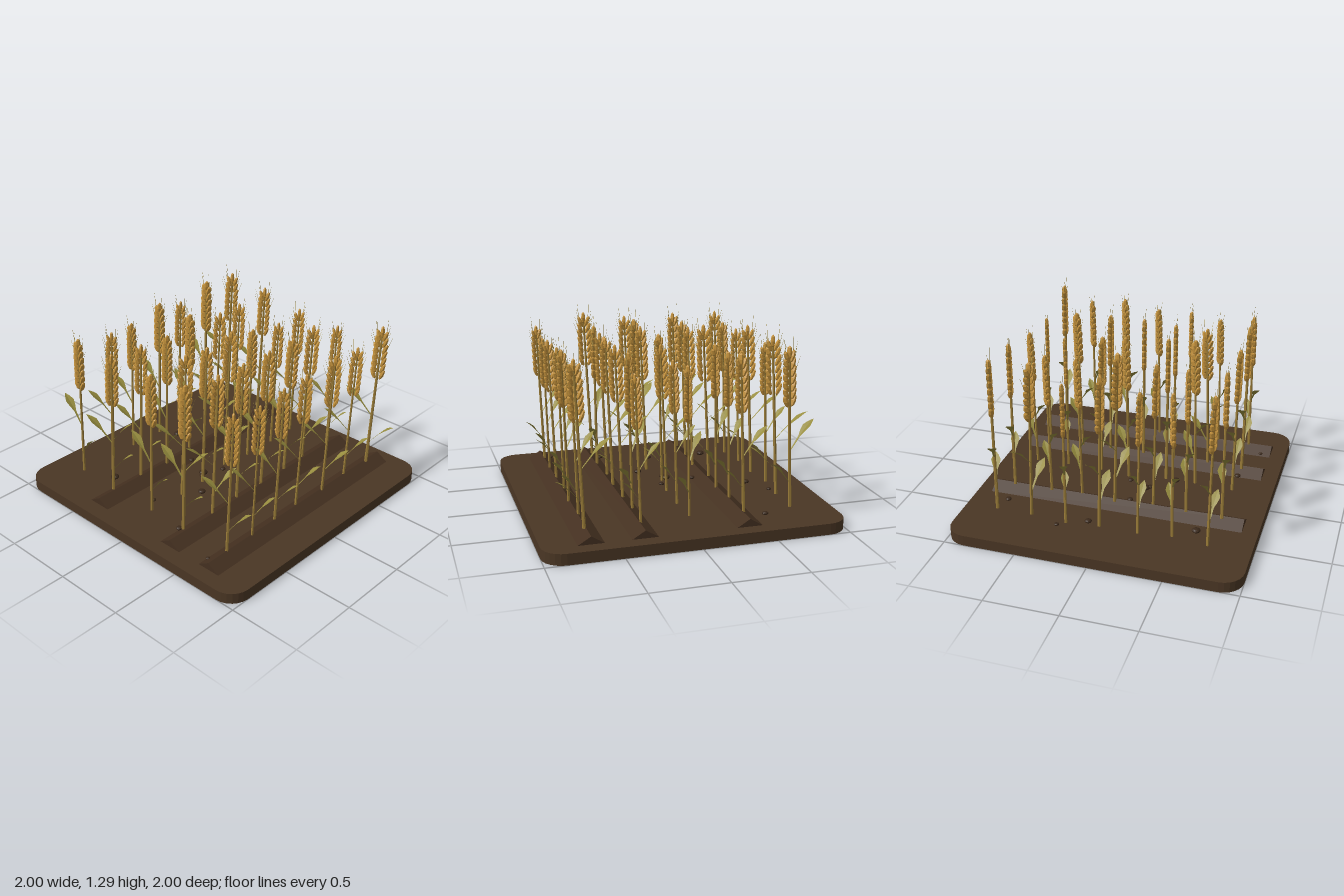
import * as THREE from 'three';
import { mergeGeometries } from 'three/addons/utils/BufferGeometryUtils.js';

const mat = (name, color, side = THREE.FrontSide) => {
  const m = new THREE.MeshStandardMaterial({ color, flatShading: true, side });
  m.name = name;
  return m;
};

// plan positions of the two leaf tips of every plant: [x1, z1, x2, z2]
const ROWS = [
  [[-.85, -.68, -.51, -.81], [-.52, -.70, -.19, -.80], [-.10, -.61, .11, -.83], [.20, -.70, .47, -.79], [.52, -.71, .88, -.78]],
  [[-.87, -.53, -.50, -.46], [-.48, -.38, -.23, -.57], [-.12, -.43, .15, -.54], [.21, -.35, .43, -.61], [.56, -.41, .81, -.59]],
  [[-.86, -.19, -.57, -.29], [-.46, -.15, -.22, -.36], [-.15, -.25, .17, -.21], [.16, -.25, .50, -.28], [.57, -.13, .82, -.35]],
  [[-.87, -.03, -.51, 0], [-.55, -.06, -.19, .04], [-.15, .10, .11, -.13], [.17, .03, .50, -.05], [.56, .12, .79, -.08]],
  [[-.85, .25, -.54, .25], [-.50, .25, -.17, .26], [-.15, .29, .19, .21], [.16, .27, .48, .18], [.54, .30, .83, .20]],
  [[-.81, .54, -.52, .41], [-.51, .55, -.20, .43], [-.11, .58, .16, .34], [.26, .63, .41, .33], [.58, .57, .80, .39]],
  [[-.87, .70, -.53, .74], [-.53, .79, -.20, .69], [-.16, .72, .18, .74], [.13, .73, .50, .74], [.54, .78, .83, .65]],
];

const LEAN = 0.045;
const leanX = (y) => LEAN * y;

// straight tapered rod between two points
function rod(a, b, r0, r1, sides) {
  const dir = b.clone().sub(a);
  const g = new THREE.CylinderGeometry(r1, r0, dir.length(), sides);
  g.applyQuaternion(new THREE.Quaternion().setFromUnitVectors(new THREE.Vector3(0, 1, 0), dir.clone().normalize()));
  const c = a.clone().add(b).multiplyScalar(0.5);
  return g.translate(c.x, c.y, c.z);
}

// blade rising from the stalk: narrow stem, wide middle, pointed tip
function leafGeometry(side, y0, reach, rise) {
  const stations = [[0, .004], [.4, .008], [.55, .022], [.7, .03], [.85, .018], [1, .001]];
  const pos = [], idx = [];
  stations.forEach(([t, w], i) => {
    const x = leanX(y0) + side * reach * t;
    const y = y0 + rise * (t + 0.35 * t * (1 - t));
    pos.push(x, y + w * .25, -w, x, y, 0, x, y + w * .25, w);
    if (!i) return;
    for (let k = 0; k < 2; k++) {
      const a = (i - 1) * 3 + k, b = a + 3;
      if (side > 0) idx.push(a, a + 1, b, a + 1, b + 1, b);
      else idx.push(a, b, a + 1, a + 1, b, b + 1);
    }
  });
  const g = new THREE.BufferGeometry();
  g.setAttribute('position', new THREE.Float32BufferAttribute(pos, 3));
  g.setIndex(idx);
  g.computeVertexNormals();
  return g;
}

// two ranks of tilted grains plus one at the tip
function earGeometry() {
  const parts = [];
  const grain = (x, y, tilt) => {
    const g = new THREE.SphereGeometry(1, 6, 4).scale(.014, .042, .019);
    parts.push(g.rotateZ(-tilt).translate(x, y, 0));
  };
  for (let i = 0; i < 7; i++) {
    const y = .70 + i * .047, spread = .03 - Math.max(0, i - 4) * .004;
    for (const s of [-1, 1]) grain(leanX(y) + s * spread, y, s * .38);
  }
  grain(leanX(1.01), 1.01, 0);
  return mergeGeometries(parts);
}

// fine bristles fanning out of the upper ear
function awnGeometry() {
  const parts = [];
  for (let i = 0; i < 4; i++) {
    for (const s of [-1, 1]) {
      const y = .85 + i * .045, x = leanX(y);
      parts.push(rod(new THREE.Vector3(x + s * .03, y, 0),
        new THREE.Vector3(x + s * (.075 - i * .012), y + .13, (i % 2 - .5) * .02), .0025, .0005, 3));
    }
  }
  return mergeGeometries(parts);
}

export function createModel() {
  const model = new THREE.Group();
  model.name = 'grainField';
  const soil = mat('soil', 0x4a3624);
  const ridgeSoil = mat('ridgeSoil', 0x443020);
  const clodSoil = mat('clodSoil', 0x3a291b);
  const straw = mat('straw', 0x9a7c38);
  const gold = mat('gold', 0xc4923c);
  const awnTan = mat('awnTan', 0xb09a50);
  const leafGreen = mat('leafGreen', 0x968c3e, THREE.DoubleSide);

  const add = (parent, name, geo, material) => {
    const m = new THREE.Mesh(geo, material);
    m.name = name;
    parent.add(m);
    return m;
  };

  // soil slab with rounded corners
  const r = .14, s = new THREE.Shape();
  s.moveTo(-1 + r, -1);
  s.lineTo(1 - r, -1);
  s.absarc(1 - r, -1 + r, r, -Math.PI / 2, 0);
  s.absarc(1 - r, 1 - r, r, 0, Math.PI / 2);
  s.absarc(-1 + r, 1 - r, r, Math.PI / 2, Math.PI);
  s.absarc(-1 + r, -1 + r, r, Math.PI, Math.PI * 1.5);
  add(model, 'soilSlab', new THREE.ExtrudeGeometry(s, { depth: .075, bevelEnabled: false, curveSegments: 3 })
    .rotateX(-Math.PI / 2), soil);

  // ploughed ridges
  const tri = new THREE.Shape([[-.087, 0], [.087, 0], [0, .053]].map(([x, y]) => new THREE.Vector2(x, y)));
  const ridgeGeo = new THREE.ExtrudeGeometry(tri, { depth: 1.79, bevelEnabled: false }).translate(0, .074, -.9);
  for (const x of [-.345, .345, .69]) add(model, 'ridge', ridgeGeo, ridgeSoil).position.x = x;

  // loose clods: x, z, radius
  const clodGeo = new THREE.IcosahedronGeometry(1, 1);
  [[-.51, -.74, .022], [-.71, -.31, .018], [-.61, -.12, .025], [-.27, .07, .021], [-.09, .13, .031], [-.07, .16, .02],
    [-.02, 0, .02], [.07, .31, .027], [-.51, .6, .03], [-.1, .61, .018], [.26, .72, .022], [.62, .82, .015],
  ].forEach(([x, z, q], i) => {
    const c = add(model, 'clod', clodGeo, clodSoil);
    c.position.set(x, .09, z);
    c.scale.set(q, q * .55, q);
    c.rotation.y = i;
  });

  // plants share their part geometries
  const stalkGeo = rod(new THREE.Vector3(0, 0, 0), new THREE.Vector3(leanX(.99), .99, 0), .011, .007, 6);
  const earGeo = earGeometry(), awnGeo = awnGeometry();
  const upperLeaf = leafGeometry(-1, .37, .195, .18);
  const lowerLeaf = leafGeometry(1, .16, .165, .165);
  for (const [x1, z1, x2, z2] of ROWS.flat()) {
    const plant = new THREE.Group();
    plant.name = 'plant';
    const span = Math.hypot(x2 - x1, z2 - z1), yaw = Math.atan2(z1 - z2, x2 - x1);
    const wide = span / .34, tall = .55 + .45 * wide;
    plant.position.set((x1 + x2) / 2, .12, (z1 + z2) / 2);
    plant.rotation.y = yaw;
    plant.scale.set(wide, tall, wide);
    add(plant, 'stalk', stalkGeo, straw);
    add(plant, 'ear', earGeo, gold);
    add(plant, 'awns', awnGeo, awnTan);
    add(plant, 'upperLeaf', upperLeaf, leafGreen);
    add(plant, 'lowerLeaf', lowerLeaf, leafGreen);
    model.add(plant);
  }
  return model;
}
